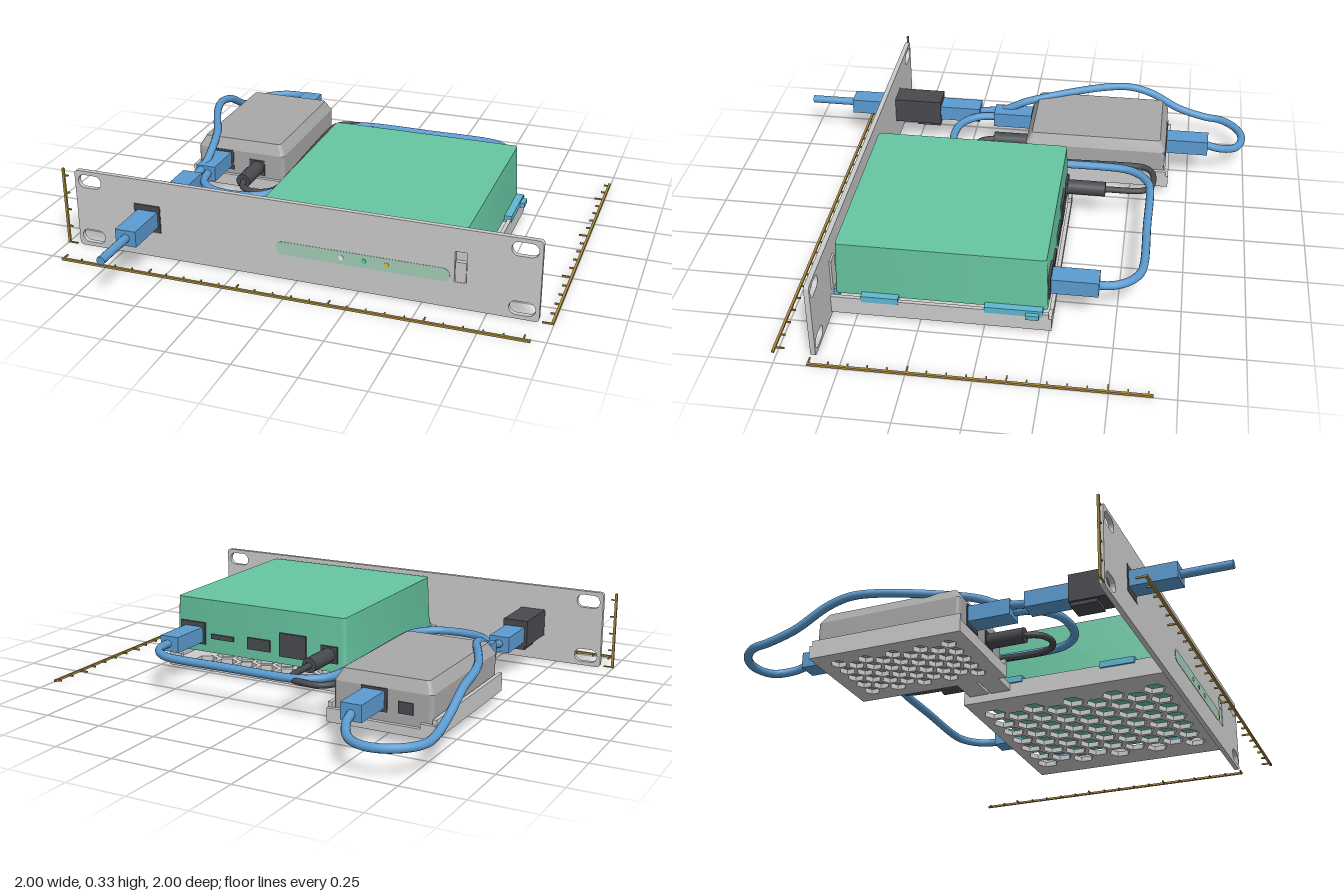
import * as THREE from 'three';
import { toCreasedNormals } from 'three/addons/utils/BufferGeometryUtils.js';

const mat = (color) => new THREE.MeshStandardMaterial({ color });
const GREY = mat(0xcccccc), LID = mat(0xa8a8a8), GREEN = mat(0x66c5a1), BLUE = mat(0x5b9bd0);
const DARK = mat(0x484a4e), CYAN = mat(0x5fb8d2), GOLD = mat(0xa8893c);
const STRIP = mat(0xa5cdb8);
const MM = 0.00744;

export function createModel() {
  const root = new THREE.Group();
  const add = (name, geo, material, parent = root) => {
    const m = new THREE.Mesh(geo, material);
    m.name = name;
    parent.add(m);
    return m;
  };
  const group = (name) => {
    const g = new THREE.Group();
    g.name = name;
    root.add(g);
    return g;
  };
  // box given by its limits
  const box = (name, x0, x1, y0, y1, z0, z1, material, parent) =>
    add(name, new THREE.BoxGeometry(x1 - x0, y1 - y0, z1 - z0)
      .translate((x0 + x1) / 2, (y0 + y1) / 2, (z0 + z1) / 2), material, parent);

  // rounded rectangle outline
  const rounded = (x0, x1, y0, y1, r, C = THREE.Shape) => {
    const s = new C();
    s.absarc(x1 - r, y0 + r, r, -Math.PI / 2, 0);
    s.absarc(x1 - r, y1 - r, r, 0, Math.PI / 2);
    s.absarc(x0 + r, y1 - r, r, Math.PI / 2, Math.PI);
    s.absarc(x0 + r, y0 + r, r, Math.PI, Math.PI * 1.5);
    s.closePath();
    return s;
  };
  const extrude = (shape, depth) =>
    new THREE.ExtrudeGeometry(shape, { depth, bevelEnabled: false, curveSegments: 8 });

  // ---- front panel with rack slots, jack opening and latch window
  const front = group('frontPanel');
  const face = rounded(-0.945, 0.945, 0, 0.33, 0.015);
  for (const x of [-0.88, 0.88]) for (const y of [0.045, 0.286])
    face.holes.push(rounded(x - 0.05, x + 0.05, y - 0.028, y + 0.028, 0.027, THREE.Path));
  face.holes.push(rounded(-0.688, -0.575, 0.108, 0.225, 0.002, THREE.Path));
  face.holes.push(rounded(0.622, 0.668, 0.11, 0.236, 0.004, THREE.Path));
  add('panelPlate', toCreasedNormals(extrude(face, 0.02).translate(0, 0, 0.6), 0.6), GREY, front);
  box('latch', 0.624, 0.666, 0.11, 0.192, 0.598, 0.618, GREY, front);
  box('latchBack', 0.618, 0.672, 0.105, 0.24, 0.592, 0.6, GREY, front);
  add('lightStrip', extrude(rounded(-0.085, 0.605, 0.105, 0.16, 0.0274), 0.021)
    .translate(0, 0, 0.6005), STRIP, front);
  [[0.18, 0xe8f4ee], [0.27, 0x40e090], [0.36, 0xd8c040]].forEach(([x, c]) =>
    add('statusLight', new THREE.CylinderGeometry(0.01, 0.01, 0.004, 16).rotateX(Math.PI / 2)
      .translate(x, 0.133, 0.621), mat(c), front));

  // ---- trays: floor perforated with hexagons
  const hexFloor = (x0, x1, z0, z1, y, thick, pitch, margin, parent) => {
    const s = rounded(x0, x1, -z1, -z0, 0.012);
    const r = pitch * 0.47, rowStep = pitch * 0.87;
    const w = x1 - x0 - 2 * margin, d = z1 - z0 - 2 * margin;
    const rows = Math.floor((d - 2 * r) / rowStep) + 1;
    const cols = Math.floor((w - pitch * 0.4) / pitch);
    for (let j = 0; j < rows; j++) {
      const n = cols - (j % 2);
      for (let i = 0; i < n; i++) {
        const cx = (x0 + x1) / 2 + (i - (n - 1) / 2) * pitch;
        const cy = -(z0 + z1) / 2 + (j - (rows - 1) / 2) * rowStep;
        const pts = [];
        for (let k = 0; k < 6; k++) {
          const a = Math.PI / 6 + k * Math.PI / 3;
          pts.push(new THREE.Vector2(cx + r * Math.cos(a), cy + r * Math.sin(a)));
        }
        s.holes.push(new THREE.Path(pts));
      }
    }
    add('perforatedFloor', extrude(s, thick).rotateX(-Math.PI / 2).translate(0, y, 0), GREY, parent);
  };
  const tray = (name, x0, x1, z0, z1, y, wallTop, pitch, margin) => {
    const g = group(name), t = 0.016;
    hexFloor(x0, x1, z0, z1, y, 0.022, pitch, margin, g);
    for (const x of [x0, x1 - t]) box('sideWall', x, x + t, y, wallTop, z0 + 0.012, z1, GREY, g);
    box('frontLip', x0, x1, y, y + 0.05, z1 - t, z1, GREY, g);
    box('rearLip', x0 + 0.01, x1 - 0.01, y, y + 0.035, z0, z0 + t, GREY, g);
    for (const x of [x0, x1 - 0.06]) box('rearLug', x, x + 0.06, y, wallTop - 0.02, z0, z0 + t, GREY, g);
    return g;
  };
  const bigTray = tray('mainTray', -0.175, 0.695, -0.26, 0.6, 0.012, 0.088, 0.1, 0.035);
  const smallTray = tray('sideTray', -0.735, -0.295, -0.665, -0.02, 0.045, 0.12, 0.068, 0.03);
  for (const z of [-0.235, -0.14])
    box('trayBridge', -0.3, -0.17, 0.045, 0.075, z, z + 0.085, GREY, smallTray);

  // ---- clips holding the main unit
  const clips = group('clips');
  for (const [z0, z1] of [[-0.225, 0], [0.335, 0.48]]) {
    box('sideClip', -0.183, -0.145, 0.075, 0.102, z0, z1, CYAN, clips);
    box('sideClip', 0.66, 0.697, 0.075, 0.102, z0, z1, CYAN, clips);
  }
  box('clipTab', 0.69, 0.715, 0.072, 0.092, -0.212, -0.16, CYAN, clips);
  for (const x of [-0.15, 0.6]) box('frontClip', x, x + 0.06, 0.06, 0.1, 0.575, 0.594, CYAN, clips);

  // body: rounded block narrowing towards the top by the given inset
  const body = (x0, x1, z0, z1, y0, y1, r, inset) => {
    const g = extrude(rounded(x0, x1, -z1, -z0, r), y1 - y0).rotateX(-Math.PI / 2).translate(0, y0, 0);
    const p = g.attributes.position, cx = (x0 + x1) / 2, cz = (z0 + z1) / 2;
    for (let i = 0; i < p.count; i++) {
      const k = inset * (p.getY(i) - y0) / (y1 - y0);
      p.setX(i, cx + (p.getX(i) - cx) * (1 - 2 * k / (x1 - x0)));
      p.setZ(i, cz + (p.getZ(i) - cz) * (1 - 2 * k / (z1 - z0)));
    }
    return toCreasedNormals(g, 0.5);
  };

  // ---- main unit with rear sockets
  const unit = group('mainUnit');
  add('unitCase', body(-0.152, 0.667, -0.242, 0.586, 0.088, 0.316, 0.015, 0.009), GREEN, unit);
  for (const [x0, x1, y0, y1] of [[0.52, 0.64, 0.12, 0.215], [0.38, 0.49, 0.15, 0.17],
    [0.2, 0.31, 0.13, 0.18], [0.03, 0.155, 0.12, 0.22], [-0.115, -0.04, 0.125, 0.195]])
    box('rearSocket', x0, x1, y0, y1, -0.247, -0.22, DARK, unit);

  // ---- side unit: body, bevelled lid, sockets
  const side = group('sideUnit');
  add('sideUnitBase', body(-0.715, -0.315, -0.645, -0.035, 0.065, 0.205, 0.015, 0), LID, side);
  add('sideUnitLid', body(-0.715, -0.315, -0.645, -0.035, 0.205, 0.25, 0.015, 0.025), LID, side);
  box('rearSocket', -0.535, -0.43, 0.115, 0.205, -0.65, -0.62, DARK, side);
  box('rearSocket', -0.64, -0.58, 0.12, 0.165, -0.65, -0.62, DARK, side);
  box('frontSocket', -0.65, -0.55, 0.115, 0.205, -0.06, -0.031, DARK, side);
  box('frontSocket', -0.475, -0.405, 0.105, 0.175, -0.06, -0.031, DARK, side);

  // ---- panel jack
  const jack = group('panelJack');
  box('jackHousing', -0.685, -0.578, 0.11, 0.223, 0.39, 0.621, DARK, jack);
  box('jackRear', -0.675, -0.588, 0.095, 0.2, 0.395, 0.5, DARK, jack);

  // ---- cables and plugs; path points are [x, z, y]
  const cable = (name, pts, r, material) => {
    const curve = new THREE.CatmullRomCurve3(pts.map(([x, z, y]) => new THREE.Vector3(x, y, z)));
    add(name, new THREE.TubeGeometry(curve, pts.length * 10, r, 12), material);
  };
  const arc = (cx, cz, r, a0, a1, y) => [0, 1, 2, 3, 4].map((i) => {
    const a = THREE.MathUtils.degToRad(a0 + (a1 - a0) * i / 4);
    return [cx + r * Math.cos(a), cz + r * Math.sin(a), y];
  });
  const plug = (x, z0, z1, y = 0.163) =>
    box('networkPlug', x - 0.043, x + 0.043, y - 0.033, y + 0.033, z0, z1, BLUE);
  const round = (x, y, z0, z1) => add('powerPlug',
    new THREE.CylinderGeometry(0.031, 0.031, z1 - z0, 24).rotateX(Math.PI / 2)
      .translate(x, y, (z0 + z1) / 2), DARK);

  plug(-0.63, 0.6, 0.805, 0.167);
  add('frontCable', new THREE.CylinderGeometry(0.017, 0.017, 0.22, 16).rotateX(Math.PI / 2)
    .translate(-0.63, 0.167, 0.89), BLUE);
  plug(-0.63, 0.21, 0.4);
  plug(-0.482, -0.83, -0.64);
  plug(-0.603, -0.04, 0.14);
  plug(0.573, -0.43, -0.24);
  cable('rearLoopCable', [[-0.482, -0.82, 0.16], [-0.49, -0.88, 0.14], [-0.535, -0.95, 0.118],
    [-0.6, -0.982, 0.113], [-0.67, -0.98, 0.113], [-0.735, -0.945, 0.113], [-0.782, -0.885, 0.113],
    [-0.794, -0.82, 0.115], [-0.794, -0.7, 0.15], [-0.794, -0.56, 0.225], [-0.792, -0.46, 0.25],
    [-0.765, -0.35, 0.255], [-0.705, -0.21, 0.255], [-0.655, -0.1, 0.25], [-0.63, 0, 0.23],
    [-0.625, 0.1, 0.185], [-0.63, 0.22, 0.163]], 0.017, BLUE);
  cable('linkCable', [[-0.598, 0.12, 0.163], ...arc(-0.44, 0.145, 0.153, 180, 90, 0.163),
    ...arc(-0.39, 0.145, 0.153, 90, 0, 0.163), [-0.237, -0.1, 0.163],
    ...arc(-0.085, -0.44, 0.152, 180, 270, 0.163), [0.17, -0.592, 0.163],
    ...arc(0.43, -0.44, 0.152, 270, 360, 0.163), [0.575, -0.41, 0.163]], 0.017, BLUE);

  round(-0.075, 0.158, -0.405, -0.24);
  round(-0.44, 0.14, -0.045, 0.12);
  cable('powerCable', [[-0.075, -0.38, 0.158], ...arc(-0.15, -0.53, 0.072, 0, -90, 0.158),
    ...arc(-0.2, -0.53, 0.072, 270, 180, 0.156), [-0.274, -0.2, 0.15],
    ...arc(-0.357, 0.117, 0.082, 0, 180, 0.14), [-0.44, 0.1, 0.14]], 0.013, DARK);

  // ---- measuring rulers: ticks every 10 mm, longer every 50 mm
  const ruler = (name, length) => {
    const g = group(name);
    box('bar', 0, length, 0, 0.009, -0.005, 0.005, GOLD, g);
    for (let i = 0; i * 10 * MM <= length; i++) {
      const x = i * 10 * MM;
      box('tick', x, x + 0.005, 0, 0.007, i % 5 ? -0.022 : -0.038, 0, GOLD, g);
    }
    return g;
  };
  ruler('widthRuler', 1.89).position.set(-0.945, 0, 0.767);
  const depth = ruler('depthRuler', 1.285);
  depth.rotation.y = Math.PI / 2;
  depth.position.set(0.995, 0, 0.622);
  const height = ruler('heightRuler', 0.33);
  height.rotation.set(Math.PI / 2, 0, Math.PI / 2, 'ZXY');
  height.position.set(-0.995, 0, 0.625);
  // ticks of the height ruler point towards the panel
  height.setRotationFromMatrix(new THREE.Matrix4().makeBasis(
    new THREE.Vector3(0, 1, 0), new THREE.Vector3(0, 0, -1), new THREE.Vector3(-1, 0, 0)));
  return root;
}
